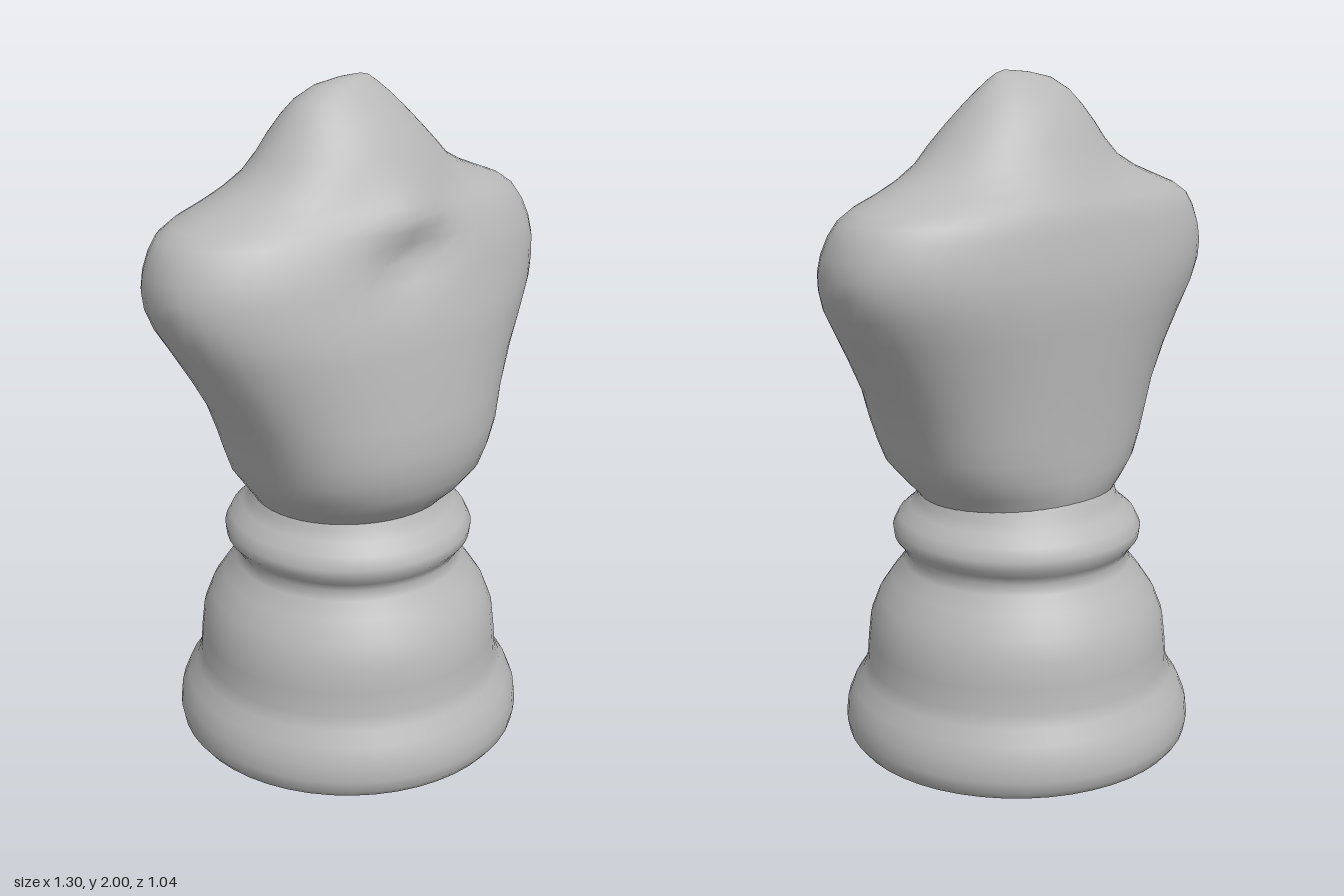
import * as THREE from 'three';

const stone = new THREE.MeshStandardMaterial({ color: 0xb8b8b8 });
stone.name = 'grey stone';

// Torso sections from waist to neck stump: y, half width, front z, back z, x offset, roundness exponent
const SECTIONS = [
  [0.76, 0.28, 0.27, -0.27, 0, 2], [0.79, 0.30, 0.30, -0.28, 0, 2],
  [0.83, 0.33, 0.34, -0.295, 0, 2.1], [0.88, 0.365, 0.37, -0.30, 0, 2.3],
  [0.94, 0.385, 0.385, -0.303, 0, 2.4], [1.01, 0.41, 0.395, -0.306, 0, 2.4],
  [1.1, 0.45, 0.385, -0.312, 0, 2.3], [1.2, 0.512, 0.37, -0.32, 0, 2.2],
  [1.3, 0.575, 0.355, -0.327, 0, 2.2], [1.37, 0.62, 0.34, -0.332, 0, 2.2],
  [1.43, 0.645, 0.32, -0.33, 0, 2.2], [1.48, 0.652, 0.308, -0.325, 0, 2.2],
  [1.53, 0.645, 0.293, -0.317, 0, 2.2], [1.58, 0.628, 0.275, -0.307, 0, 2.15],
  [1.62, 0.603, 0.257, -0.297, 0, 2.1], [1.65, 0.56, 0.243, -0.283, 0, 2],
  [1.68, 0.485, 0.23, -0.266, 0, 1.9], [1.71, 0.41, 0.222, -0.25, 0, 1.9],
  [1.75, 0.335, 0.21, -0.228, 0, 1.95], [1.8, 0.283, 0.19, -0.203, 0, 2],
  [1.85, 0.24, 0.16, -0.178, -0.005, 2], [1.9, 0.195, 0.12, -0.145, -0.008, 2],
  [1.94, 0.155, 0.085, -0.11, -0.01, 2], [1.975, 0.105, 0.05, -0.065, -0.005, 2],
  [1.992, 0.055, 0.02, -0.03, 0.02, 2],
];

function torsoGeometry(sides = 48) {
  const pos = [], index = [];
  const bump = (x, y, cy, sx, sy) => Math.exp(-((x / sx) ** 2) - ((y - cy) / sy) ** 2);
  const power = (v, n) => Math.sign(v) * Math.abs(v) ** (2 / n);
  SECTIONS.forEach(([y, w, front, back, cx, n]) => {
    const mid = Math.max(-0.03, Math.min(0.03, (front + back) / 2));
    for (let i = 0; i < sides; i++) {
      const a = (i / sides) * Math.PI * 2;
      const x = cx + w * power(Math.sin(a), n);
      const c = power(Math.cos(a), n);
      let z = mid + c * (c > 0 ? front - mid : mid - back);
      // Neck root bulges forward above the hollow of the throat
      if (c > 0) z += c * (0.045 * bump(x, y, 1.66, 0.13, 0.07) - 0.045 * bump(x, y, 1.53, 0.11, 0.06));
      pos.push(x, y, z);
    }
  });
  for (let r = 0; r < SECTIONS.length - 1; r++) {
    for (let i = 0; i < sides; i++) {
      const a = r * sides + i, b = r * sides + (i + 1) % sides;
      index.push(a, b, b + sides, a, b + sides, a + sides);
    }
  }
  // Close the neck stump
  const top = (SECTIONS.length - 1) * sides, tip = pos.length / 3;
  pos.push(0.045, 2, 0);
  for (let i = 0; i < sides; i++) index.push(top + i, top + (i + 1) % sides, tip);
  const g = new THREE.BufferGeometry();
  g.setAttribute('position', new THREE.Float32BufferAttribute(pos, 3));
  g.setIndex(index);
  g.computeVertexNormals();
  return g;
}

export function createModel() {
  const model = new THREE.Group();
  model.name = 'bust';
  const add = (name, geometry) => {
    const mesh = new THREE.Mesh(geometry, stone);
    mesh.name = name;
    model.add(mesh);
    return mesh;
  };

  // Turned pedestal with rolled foot, rounded drum and collar ring
  const profile = [
    [0.47, 0], [0.495, 0.012], [0.513, 0.035], [0.52, 0.07], [0.515, 0.12], [0.495, 0.17],
    [0.468, 0.21], [0.453, 0.25], [0.448, 0.32], [0.44, 0.39], [0.415, 0.455], [0.375, 0.515],
    [0.34, 0.56], [0.33, 0.59], [0.345, 0.615], [0.365, 0.64], [0.369, 0.67], [0.352, 0.705],
    [0.318, 0.735], [0.297, 0.76], [0.292, 0.785], [0.27, 0.82],
  ].map(([r, y]) => new THREE.Vector2(r, y));
  add('pedestal', new THREE.LatheGeometry(profile, 48));

  // Flat underside
  add('underside', new THREE.CircleGeometry(0.47, 48)).rotation.x = Math.PI / 2;

  // Shoulders, chest and neck stump
  add('torso', torsoGeometry());
  return model;
}
